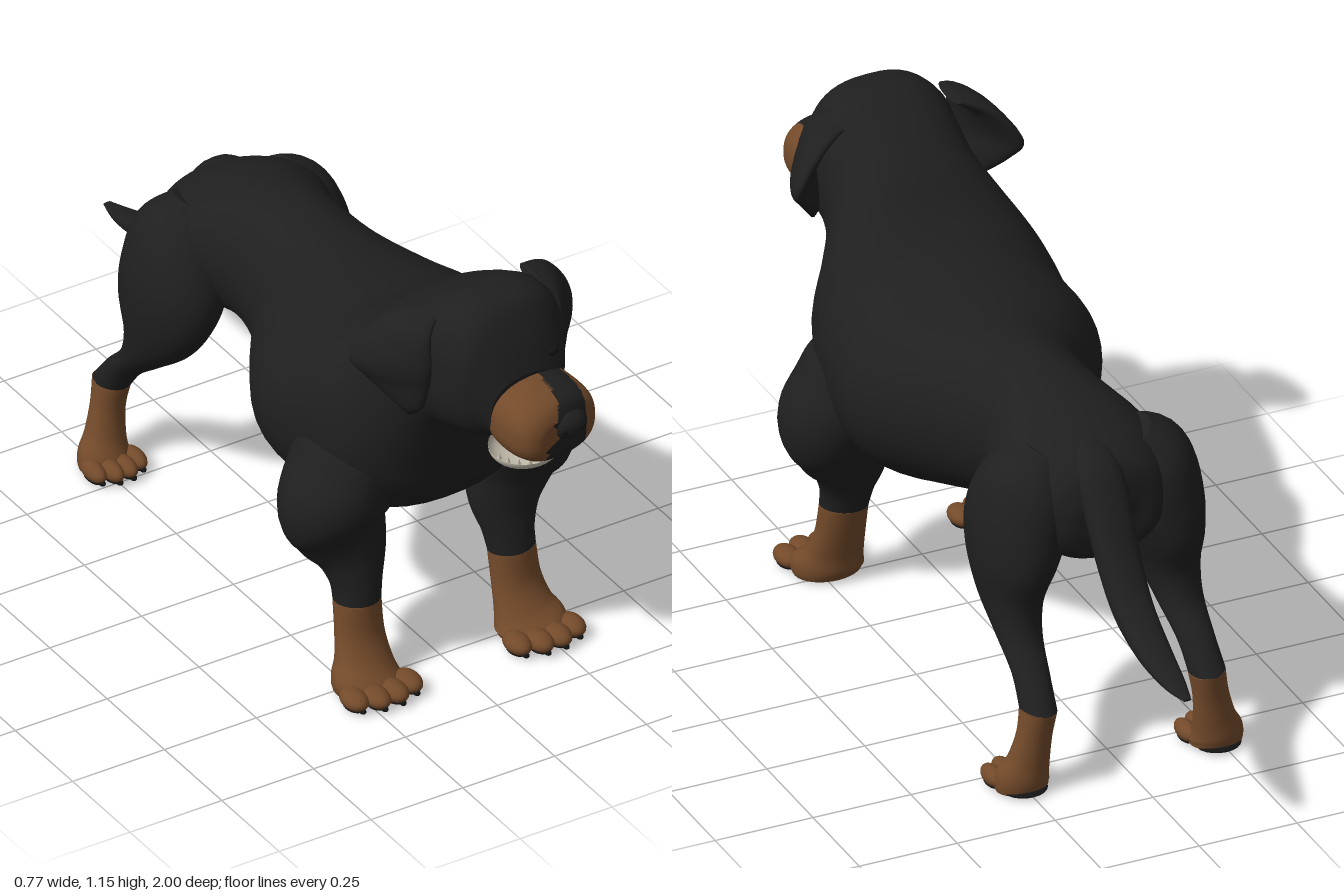
import * as THREE from 'three';

const mat = (name, color) => Object.assign(new THREE.MeshStandardMaterial({ color }), { name });

// Smooth skin over rings. Ring: [xA,yA,zA, xB,yB,zB, r, pow] = two opposite edge points, the half width
// across them and the roundness (1 = ellipse, less = boxier). pick(point) returns the material index of a face.
function loft(rings, { seg = 32, sub = 6, pick = () => 0, mats = 1 } = {}) {
  const cr = (a, b, c, d, t) =>
    0.5 * (2 * b + (c - a) * t + (2 * a - 5 * b + 4 * c - d) * t * t + (3 * b - a - 3 * c + d) * t * t * t);
  const at = (i) => rings[Math.max(0, Math.min(rings.length - 1, i))];
  const fine = [];
  for (let i = 0; i < rings.length - 1; i++)
    for (let k = 0; k < sub; k++)
      fine.push(at(i).map((v, j) => cr(at(i - 1)[j], v, at(i + 1)[j], at(i + 2)[j], k / sub)));
  fine.push(at(rings.length - 1));

  const rows = fine.map((f) => {
    const a = new THREE.Vector3(f[0], f[1], f[2]), b = new THREE.Vector3(f[3], f[4], f[5]);
    return { c: a.clone().add(b).multiplyScalar(0.5), d: a.sub(b).multiplyScalar(0.5), r: Math.max(f[6], 0.002), pow: f[7] };
  });
  const pts = [], n = rows.length;
  const bend = (v, pow) => Math.sign(v) * Math.abs(v) ** pow;
  rows.forEach((o, i) => {
    const tan = rows[Math.min(n - 1, i + 1)].c.clone().sub(rows[Math.max(0, i - 1)].c);
    const side = o.d.clone().cross(tan).normalize().multiplyScalar(o.r);
    for (let j = 0; j < seg; j++) {
      const t = (j / seg) * Math.PI * 2;
      pts.push(o.c.clone().addScaledVector(side, bend(Math.cos(t), o.pow)).addScaledVector(o.d, bend(Math.sin(t), o.pow)));
    }
  });
  const lists = Array.from({ length: mats }, () => []);
  const tri = (a, b, c) => {
    const mid = pts[a].clone().add(pts[b]).add(pts[c]).divideScalar(3);
    lists[pick(mid)].push(a, b, c);
  };
  for (let i = 0; i < n - 1; i++)
    for (let j = 0; j < seg; j++) {
      const a = i * seg + j, b = i * seg + ((j + 1) % seg);
      tri(a, b, b + seg);
      tri(a, b + seg, a + seg);
    }
  // end caps with their own vertices
  for (const row of [0, n - 1]) {
    const start = pts.length;
    for (let j = 0; j < seg; j++) pts.push(pts[row * seg + j].clone());
    pts.push(rows[row].c.clone());
    for (let j = 0; j < seg; j++) {
      const a = start + j, b = start + ((j + 1) % seg);
      row ? tri(a, b, start + seg) : tri(b, a, start + seg);
    }
  }
  // turn the faces outward
  let vol = 0;
  for (const l of lists)
    for (let i = 0; i < l.length; i += 3)
      vol += pts[l[i]].dot(pts[l[i + 1]].clone().cross(pts[l[i + 2]]));
  if (vol < 0) lists.forEach((l) => l.reverse());
  const g = new THREE.BufferGeometry().setFromPoints(pts);
  g.setIndex(lists.flat());
  let from = 0;
  if (mats > 1) lists.forEach((l, m) => { g.addGroup(from, l.length, m); from += l.length; });
  g.computeVertexNormals();
  return g;
}

export function createModel() {
  const dog = new THREE.Group();
  dog.name = 'dog';
  const black = mat('black coat', 0x1f1f1f);
  const brown = mat('tan markings', 0x734a2a);
  const cream = mat('cream teeth and jaw', 0xc8c1b0);
  const pink = mat('pink tongue', 0xc9727c);
  const dark = mat('dark pads and eyes', 0x141414);
  cream.side = THREE.DoubleSide;
  const add = (name, geo, m, parent = dog) => {
    const mesh = new THREE.Mesh(geo, m);
    mesh.name = name;
    parent.add(mesh);
    return mesh;
  };
  const ball = (name, m, p, s, parent) => {
    const mesh = add(name, new THREE.SphereGeometry(1, 20, 14), m, parent);
    mesh.position.set(...p);
    mesh.scale.set(...s);
    return mesh;
  };
  // ring from profile readings: x, top z/y, bottom z/y, half width, roundness
  const prof = ([x, zt, yt, zb, yb, r, pow = 0.85]) => [x, yt, zt, x, yb, zb, r, pow];

  // trunk, neck and skull
  add('body', loft([
    [0.025, -0.555, 0.69, -0.555, 0.62, 0.06],
    [0.025, -0.53, 0.77, -0.54, 0.54, 0.145, 0.9],
    [0.02, -0.45, 0.825, -0.45, 0.52, 0.2, 0.98],
    [0.02, -0.35, 0.86, -0.35, 0.51, 0.21, 1],
    [0.02, -0.2, 0.885, -0.22, 0.51, 0.165, 1],
    [0.02, -0.05, 0.88, -0.07, 0.46, 0.185, 1],
    [0.015, 0.08, 0.868, 0.08, 0.41, 0.265, 0.98],
    [0.01, 0.2, 0.88, 0.2, 0.375, 0.318, 0.95],
    [0.01, 0.3, 0.9, 0.34, 0.372, 0.31, 0.92],
    [0.005, 0.37, 0.935, 0.48, 0.42, 0.3, 0.88],
    [0.005, 0.42, 0.97, 0.57, 0.5, 0.275, 0.86],
    [0.005, 0.48, 1.025, 0.605, 0.6, 0.23, 0.86],
    [0.005, 0.55, 1.075, 0.64, 0.69, 0.192, 0.85],
    [0.005, 0.63, 1.12, 0.68, 0.75, 0.18, 0.78],
    [0.005, 0.7, 1.145, 0.73, 0.775, 0.178, 0.74],
    [0.007, 0.78, 1.135, 0.79, 0.79, 0.16, 0.76],
    [0.01, 0.83, 1.07, 0.82, 0.8, 0.133],
    [0.012, 0.865, 0.98, 0.85, 0.81, 0.1],
  ].map(prof), { seg: 48 }), black);

  // tail
  add('tail', loft([
    [0.03, -0.42, 0.83, -0.47, 0.69, 0.06],
    [0.03, -0.53, 0.79, -0.52, 0.67, 0.06],
    [0.03, -0.6, 0.7, -0.54, 0.65, 0.057],
    [0.03, -0.66, 0.595, -0.6, 0.55, 0.053],
    [0.03, -0.73, 0.51, -0.69, 0.455, 0.049],
    [0.03, -0.83, 0.45, -0.81, 0.405, 0.042],
    [0.03, -0.93, 0.415, -0.925, 0.388, 0.028],
    [0.03, -1, 0.398, -1, 0.392, 0.01],
  ].map(prof), { seg: 20 }), black);
  ball('bellySheath', black, [0.02, 0.49, -0.11], [0.03, 0.03, 0.06]).rotation.x = 0.3;

  // muzzle with tan cheeks and a black bridge that widens downward
  const cheek = (p) =>
    p.z > 0.85 && (p.x < 0.035 - (0.96 - p.y) * 0.32 || p.x > 0.107) ? 1 : 0;
  add('muzzle', loft([
    [0.028, 0.79, 0.98, 0.79, 0.79, 0.1],
    [0.029, 0.85, 0.972, 0.85, 0.785, 0.115],
    [0.03, 0.9, 0.968, 0.9, 0.788, 0.119, 0.82],
    [0.032, 0.94, 0.96, 0.94, 0.794, 0.115, 0.8],
    [0.034, 0.968, 0.942, 0.968, 0.803, 0.1, 0.8],
    [0.036, 0.982, 0.91, 0.982, 0.825, 0.065, 0.85],
  ].map(prof), { seg: 96, sub: 10, pick: cheek, mats: 2 }), [black, brown]);
  ball('nose', black, [0.056, 0.885, 0.966], [0.05, 0.037, 0.034]);
  for (const s of [-1, 1]) {
    ball('nostril', dark, [0.056 + s * 0.022, 0.882, 0.99], [0.011, 0.009, 0.008]);
    ball('eye', dark, [0.012 + s * 0.078, 1.0, 0.836], [0.022, 0.011, 0.014]);
  }

  // open mouth, tipped down at the front
  const mouth = new THREE.Group();
  mouth.name = 'mouth';
  mouth.position.set(0.018, 0.778, 0.845);
  mouth.rotation.x = 0.2;
  dog.add(mouth);
  const bowl = new THREE.SphereGeometry(1, 28, 10, 0, Math.PI * 2, Math.PI / 2, Math.PI / 2);
  add('lowerJaw', bowl, cream, mouth).scale.set(0.093, 0.047, 0.074);
  ball('tongue', pink, [0.016, 0.008, 0], [0.062, 0.024, 0.06], mouth);
  for (let i = 0; i < 9; i++) {
    const a = (i / 8 - 0.5) * 2.6;
    add('tooth', new THREE.ConeGeometry(0.006, 0.016, 6), cream, mouth)
      .position.set(Math.sin(a) * 0.086, 0.004, Math.cos(a) * 0.067);
  }

  for (const s of [-1, 1]) {
    const name = s > 0 ? 'left' : 'right';
    // hanging ear
    add(name + 'Ear', loft([
      [0.14, 1.105, 0.72, 0.15, 1.1, 0.62, 0.014],
      [0.172, 1.075, 0.745, 0.225, 1.065, 0.59, 0.024],
      [0.175, 1.0, 0.755, 0.288, 0.985, 0.575, 0.028],
      [0.175, 0.94, 0.745, 0.262, 0.935, 0.6, 0.025],
      [0.183, 0.88, 0.73, 0.217, 0.88, 0.65, 0.02],
      [0.192, 0.85, 0.7, 0.2, 0.85, 0.68, 0.006],
    ].map((r) => [s * r[0] - 0.007, r[1], r[2], s * r[3] - 0.007, r[4], r[5], r[6], 1]), { seg: 24 }), black);

    // leg rings: x, y, front z, back z, half width
    const leg = ([x, y, zf, zb, r]) => [s * x + 0.008, y, zf, s * x + 0.008, y, zb, r, 1];
    const limbs = {
      Front: {
        upper: [[0.18, 0.74, 0.46, 0.28, 0.06], [0.2, 0.63, 0.535, 0.27, 0.1], [0.228, 0.55, 0.555, 0.28, 0.114],
          [0.25, 0.47, 0.55, 0.3, 0.135], [0.23, 0.4, 0.5, 0.33, 0.12], [0.21, 0.33, 0.495, 0.36, 0.093],
          [0.207, 0.26, 0.505, 0.395, 0.066], [0.21, 0.21, 0.512, 0.41, 0.059]],
        lower: [[0.21, 0.21, 0.512, 0.41, 0.059], [0.213, 0.13, 0.522, 0.43, 0.062], [0.217, 0.07, 0.555, 0.445, 0.072],
          [0.222, 0.03, 0.6, 0.45, 0.088], [0.222, 0.008, 0.59, 0.46, 0.082]],
        paw: [0.222, 0.6, 0.049],
      },
      Hind: {
        upper: [[0.11, 0.78, -0.35, -0.47, 0.05], [0.145, 0.71, -0.28, -0.53, 0.105], [0.172, 0.61, -0.24, -0.55, 0.112],
          [0.19, 0.52, -0.25, -0.55, 0.095], [0.2, 0.43, -0.31, -0.52, 0.073], [0.205, 0.35, -0.41, -0.535, 0.055],
          [0.21, 0.28, -0.5, -0.6, 0.044], [0.215, 0.215, -0.55, -0.652, 0.043]],
        lower: [[0.215, 0.215, -0.55, -0.652, 0.043], [0.225, 0.15, -0.562, -0.64, 0.043], [0.237, 0.08, -0.55, -0.636, 0.052],
          [0.247, 0.035, -0.525, -0.636, 0.066], [0.247, 0.008, -0.53, -0.63, 0.064]],
        paw: [0.247, -0.525, 0.037],
      },
    };
    for (const [end, l] of Object.entries(limbs)) {
      add(name + end + 'Leg', loft(l.upper.map(leg)), black);
      add(name + end + 'Shin', loft(l.lower.map(leg)), brown);
      // toes, claws and pads
      const [px, pz, w] = l.paw;
      const paw = new THREE.Group();
      paw.name = name + end + 'Paw';
      paw.position.set(s * px + 0.008, 0, pz);
      dog.add(paw);
      for (let i = 0; i < 4; i++) {
        const x = (i - 1.5) * w, z = Math.abs(i - 1.5) > 1 ? -0.014 : 0.004;
        ball('toe', brown, [x, 0.026, z], [w * 0.62, 0.023, 0.045], paw);
        ball('claw', dark, [x, 0.013, z + 0.037], [0.008, 0.007, 0.011], paw);
        ball('toePad', dark, [x, 0.009, z], [w * 0.48, 0.009, 0.034], paw);
      }
      ball('heelPad', dark, [0, 0.009, -0.07], [w * 1.5, 0.009, 0.05], paw);
    }
  }
  return dog;
}
